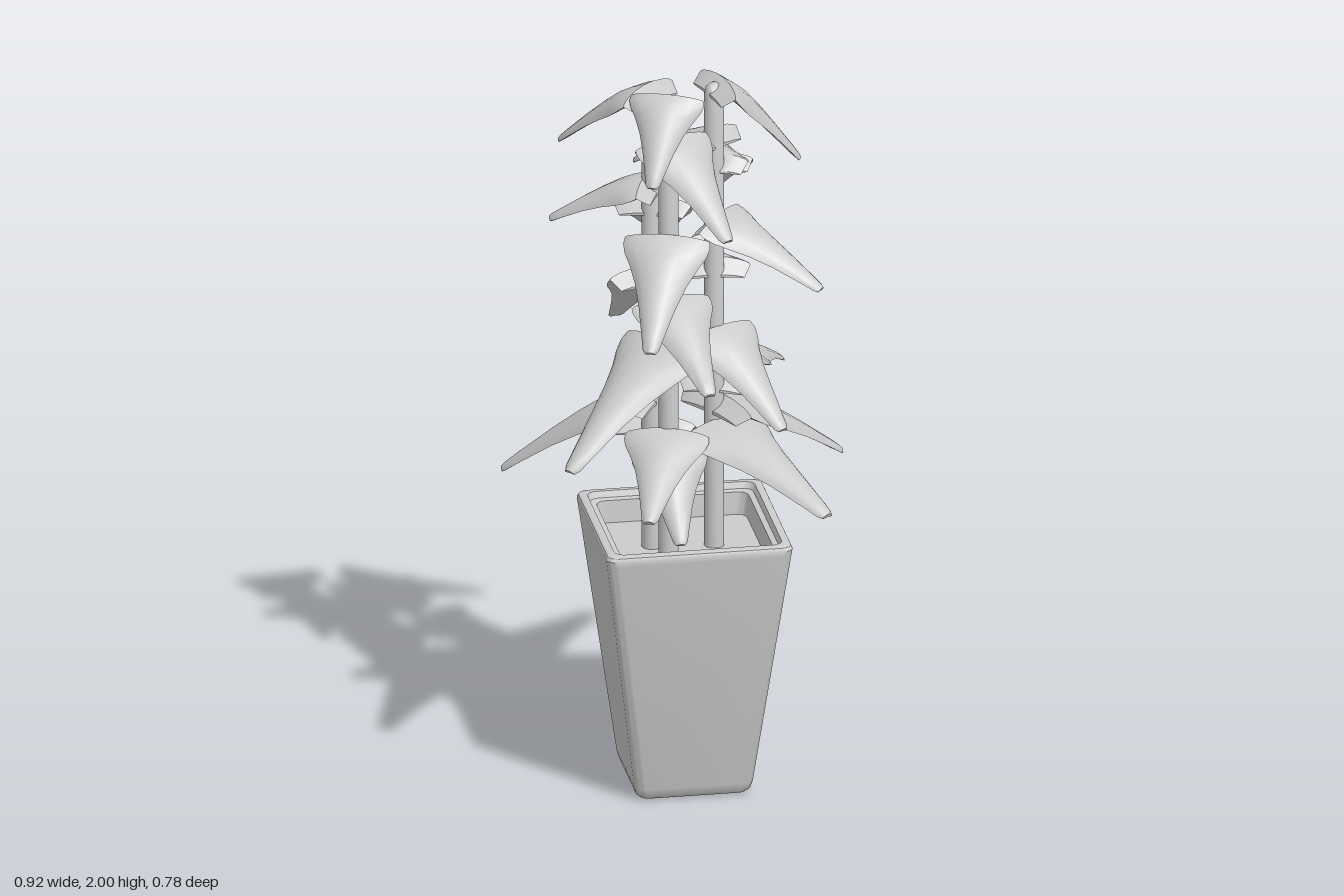
import * as THREE from 'three';
import { toCreasedNormals } from 'three/addons/utils/BufferGeometryUtils.js';

const material = new THREE.MeshStandardMaterial({ color: 0xcccccc });

// Skin a list of equal-length closed rings and close both ends with a fan.
function loft(rings, crease) {
  const n = rings[0].length;
  const points = rings.flat();
  const index = [];
  for (let r = 0; r < rings.length - 1; r++) {
    for (let i = 0; i < n; i++) {
      const a = r * n + i, b = r * n + (i + 1) % n;
      index.push(a, a + n, b, b, a + n, b + n);
    }
  }
  const addCap = (ring, start, flip) => {
    const centre = new THREE.Vector3();
    ring.forEach((p) => centre.addScaledVector(p, 1 / n));
    points.push(centre);
    for (let i = 0; i < n; i++) {
      const a = start + i, b = start + (i + 1) % n, c = points.length - 1;
      if (flip) index.push(c, b, a);
      else index.push(c, a, b);
    }
  };
  addCap(rings[0], 0, false);
  addCap(rings.at(-1), (rings.length - 1) * n, true);
  const geometry = new THREE.BufferGeometry().setFromPoints(points);
  geometry.setIndex(index);
  return toCreasedNormals(geometry, crease);
}

// Square ring with rounded corners.
function squareRing(half, y, radius) {
  const ring = [];
  const inner = half - radius;
  for (let corner = 0; corner < 4; corner++) {
    const mid = Math.PI / 4 + corner * Math.PI / 2;
    const cx = Math.sign(Math.cos(mid)) * inner, cz = Math.sign(Math.sin(mid)) * inner;
    for (let k = 0; k <= 5; k++) {
      const a = (corner + k / 5) * Math.PI / 2;
      ring.push(new THREE.Vector3(cx + Math.cos(a) * radius, y, cz + Math.sin(a) * radius));
    }
  }
  return ring;
}

// Relative width along a leaf: broad back, slightly concave sides, blunt narrow tip.
const leafWidths = [
  [0, 0.98], [0.07, 1], [0.16, 0.94], [0.28, 0.78], [0.45, 0.59],
  [0.65, 0.42], [0.9, 0.24], [0.97, 0.19], [1, 0.12],
];

// Drooping leaf growing from a stem; longer leaves are wider.
function leafGeometry(root, tip) {
  const up = new THREE.Vector3(0, 1, 0);
  const heading = tip.clone().sub(root).setY(0).normalize();
  const side = heading.clone().cross(up);
  const base = root.clone().addScaledVector(heading, 0.015);
  const end = tip.clone().addScaledVector(heading, 0.012);
  const length = base.distanceTo(end);
  const width = 0.105 + 0.38 * length;
  const control = base.clone().lerp(end, 0.45);
  control.y += length * 0.07;
  const spine = new THREE.QuadraticBezierCurve3(base, control, end);

  const section = (centre, normal, half, arch, thick) => {
    const ring = [];
    for (let k = 0; k < 16; k++) {
      const a = k / 16 * Math.PI * 2;
      const u = Math.cos(a);
      const lift = half * arch * (0.5 - u * u) + Math.sin(a) * thick;
      ring.push(centre.clone().addScaledVector(side, u * half).addScaledVector(normal, lift));
    }
    return ring;
  };

  // Folded flap behind the ridge
  const flap = base.clone().addScaledVector(heading, -0.035);
  flap.y -= 0.025;
  const rings = [section(flap, up, width * 0.4, 0.08, 0.004)];
  for (const [t, w] of leafWidths) {
    const normal = side.clone().cross(spine.getTangent(t)).normalize();
    const arch = 0.1 + 0.3 * Math.min(1, t * 3);
    rings.push(section(spine.getPoint(t), normal, w * width / 2, arch, 0.014 - 0.008 * t));
  }
  return loft(rings, 0.8);
}

// Each stem with its leaves: leaf height on the stem, then tip x, y, z
const stems = [
  { x: 0.075, z: 0.015, top: 1.985, leaves: [
    [1.98, 0.3, 1.73, -0.04], [1.83, -0.09, 1.69, -0.19], [1.76, 0.13, 1.72, -0.18],
    [1.76, 0.08, 1.56, -0.2], [1.6, 0.32, 1.45, 0.2], [1.46, 0.1, 1.37, -0.22],
    [1.28, 0.21, 1.08, 0.26], [1.2, 0.31, 1.02, -0.37], [1.13, 0.14, 1, -0.18],
    [1.07, 0.44, 0.82, -0.19], [1.01, 0.31, 0.87, 0.37],
  ] },
  { x: -0.06, z: 0.08, top: 1.97, leaves: [
    [1.985, -0.13, 1.79, 0.24], [1.86, 0.05, 1.66, 0.33], [1.58, -0.15, 1.35, 0.32],
    [1.4, 0, 1.23, 0.35], [1.28, -0.36, 1.02, 0.31], [1.02, -0.16, 0.88, 0.36],
    [0.96, -0.06, 0.77, 0.26],
  ] },
  { x: -0.09, z: -0.005, top: 1.95, leaves: [
    [1.96, -0.29, 1.76, -0.2], [1.7, -0.33, 1.57, -0.12], [1.64, -0.02, 1.45, -0.21],
    [1.44, -0.14, 1.22, -0.26], [1.1, -0.44, 0.82, -0.22], [1.01, 0, 0.82, -0.28],
  ] },
];

export function createModel() {
  const group = new THREE.Group();
  const add = (name, geometry, x = 0, y = 0, z = 0) => {
    const mesh = new THREE.Mesh(geometry, material);
    mesh.name = name;
    mesh.position.set(x, y, z);
    group.add(mesh);
  };

  // Tapered pot with rounded rim, inner ledge and soil: half width, height
  const potProfile = [
    [0.13, 0], [0.145, 0.004], [0.154, 0.014], [0.16, 0.035], [0.249, 0.715], [0.251, 0.73],
    [0.247, 0.739], [0.24, 0.742], [0.226, 0.742], [0.22, 0.725], [0.205, 0.722], [0.2, 0.66],
  ];
  add('pot', loft(potProfile.map(([half, y]) => squareRing(half, y, 0.027)), 0.7), -0.005, 0, 0.017);

  for (const { x, z, top, leaves } of stems) {
    // Stem with a rounded top
    const height = top - 0.65;
    const outline = [
      [0, 0], [0.027, 0], [0.027, height - 0.03], [0.023, height - 0.012], [0.013, height - 0.002], [0, height],
    ].map(([r, y]) => new THREE.Vector2(r, y));
    add('stem', toCreasedNormals(new THREE.LatheGeometry(outline, 16), 0.8), x, 0.65, z);

    for (const [height, ...tip] of leaves) {
      add('leaf', leafGeometry(new THREE.Vector3(x, height, z), new THREE.Vector3(...tip)));
    }
  }
  return group;
}
